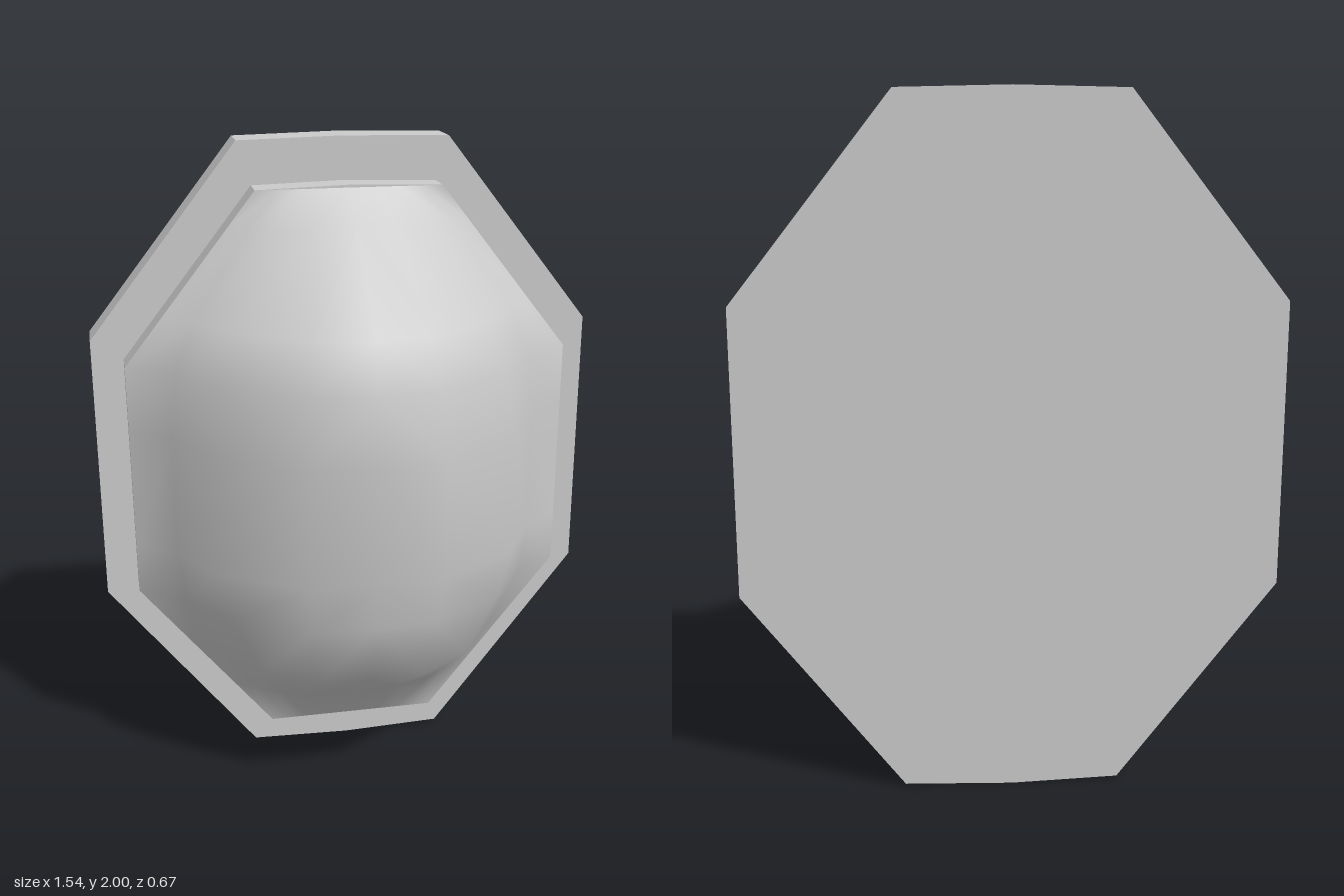
import * as THREE from 'three';

const material = new THREE.MeshStandardMaterial({ color: 0xcccccc });

// Symmetric plate extruded from its right-hand outline (top centre to bottom centre)
function plate(name, half, z0, z1) {
  const left = half.slice(1, -1).reverse().map(([x, y]) => [-x, y]);
  const shape = new THREE.Shape([...half, ...left].map(([x, y]) => new THREE.Vector2(x, y)));
  const geometry = new THREE.ExtrudeGeometry(shape, { depth: z1 - z0, bevelEnabled: false });
  geometry.translate(0, 0, z0);
  const mesh = new THREE.Mesh(geometry, material);
  mesh.name = name;
  return mesh;
}

// Smooth dome lofted through horizontal sections, each a half profile [x, z] from edge to centre
function dome() {
  const rows = [
    [1.865, [[0.275, -0.12], [0.21, -0.12], [0.15, -0.12], [0.08, -0.12], [0, -0.12]]],
    [1.76, [[0.358, -0.12], [0.3, -0.09], [0.24, -0.06], [0.12, -0.035], [0, -0.03]]],
    [1.51, [[0.555, -0.12], [0.47, -0.04], [0.37, 0.09], [0.17, 0.24], [0, 0.255]]],
    [1.365, [[0.67, -0.12], [0.53, -0.03], [0.42, 0.12], [0.19, 0.275], [0, 0.29]]],
    [1.17, [[0.67, -0.12], [0.55, -0.03], [0.45, 0.14], [0.2, 0.325], [0, 0.335]]],
    [0.8, [[0.67, -0.12], [0.55, -0.03], [0.45, 0.14], [0.2, 0.295], [0, 0.305]]],
    [0.645, [[0.67, -0.12], [0.53, -0.03], [0.41, 0.13], [0.19, 0.262], [0, 0.272]]],
    [0.45, [[0.515, -0.12], [0.43, -0.04], [0.32, 0.12], [0.16, 0.22], [0, 0.23]]],
    [0.28, [[0.38, -0.12], [0.32, -0.09], [0.25, -0.05], [0.13, -0.01], [0, 0]]],
    [0.135, [[0.265, -0.12], [0.21, -0.12], [0.15, -0.12], [0.08, -0.12], [0, -0.12]]],
  ];
  const positions = [];
  const index = [];
  for (const [y, half] of rows) {
    for (const [x, z] of half) positions.push(-x, y, z);
    for (const [x, z] of half.slice(0, -1).reverse()) positions.push(x, y, z);
  }
  const n = 9;
  for (let r = 0; r < rows.length - 1; r++) {
    for (let c = 0; c < n - 1; c++) {
      const a = r * n + c, b = a + n;
      // Diagonals mirror about the centre line
      if (c < 4) index.push(a, b, a + 1, b, b + 1, a + 1);
      else index.push(a, b, b + 1, a, b + 1, a + 1);
    }
  }
  const geometry = new THREE.BufferGeometry();
  geometry.setAttribute('position', new THREE.Float32BufferAttribute(positions, 3));
  geometry.setIndex(index);
  geometry.computeVertexNormals();
  const mesh = new THREE.Mesh(geometry, material);
  mesh.name = 'dome';
  return mesh;
}

export function createModel() {
  const group = new THREE.Group();
  group.name = 'domedPlaque';
  group.add(
    plate('backPlate', [[0, 2], [0.315, 1.993], [0.765, 1.425], [0.768, 0.605], [0.312, 0.01], [0, 0]], -0.335, -0.215),
    plate('rim', [[0, 1.873], [0.275, 1.865], [0.67, 1.365], [0.67, 0.645], [0.265, 0.135], [0, 0.13]], -0.215, -0.122),
    dome(),
  );
  return group;
}
